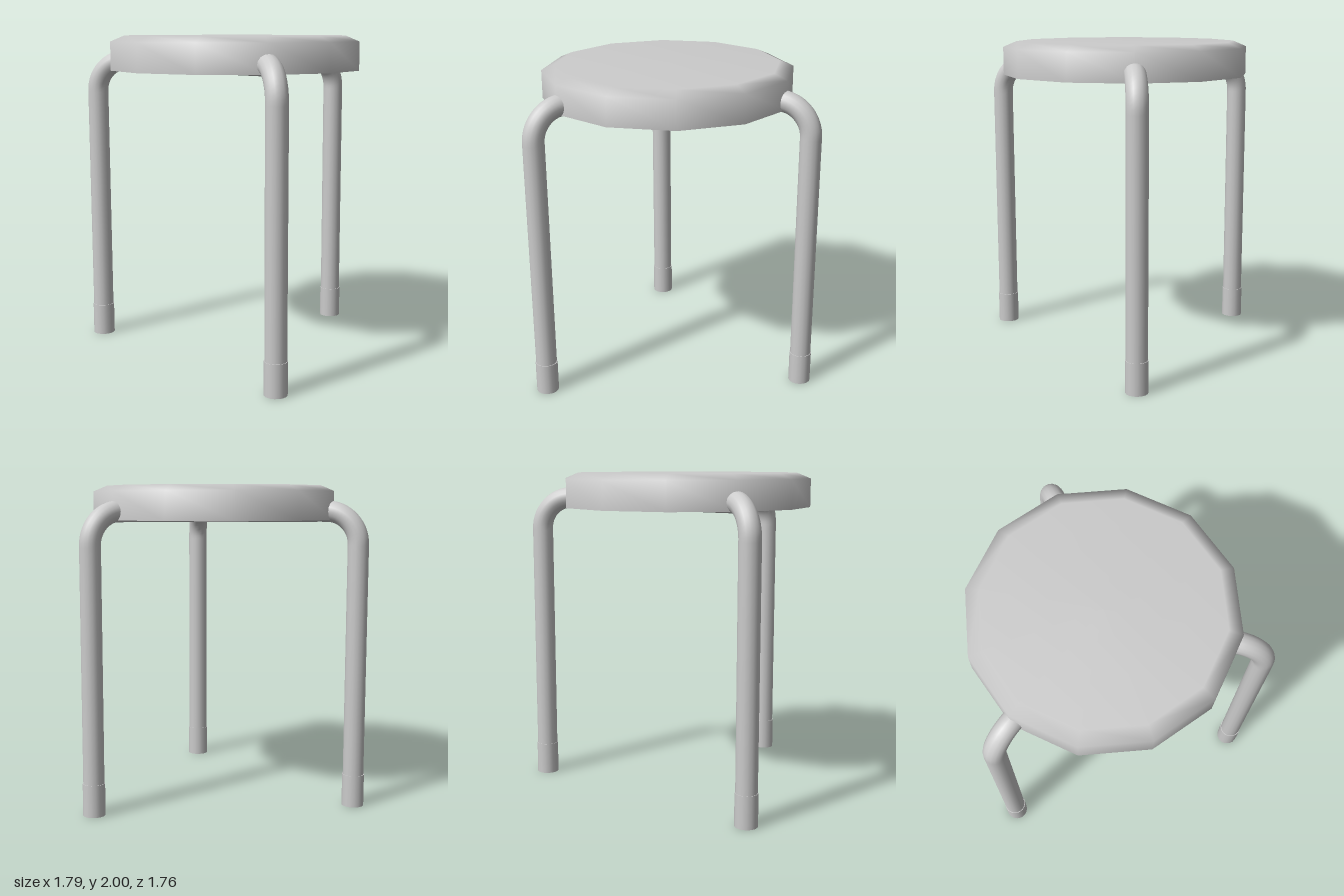
import * as THREE from 'three';

export function createModel() {
  const model = new THREE.Group();
  model.name = 'stool';
  const material = new THREE.MeshStandardMaterial({ color: 0xcccccc });
  const add = (parent, name, geometry, x = 0, y = 0, z = 0) => {
    const mesh = new THREE.Mesh(geometry, material);
    mesh.name = name;
    mesh.position.set(x, y, z);
    parent.add(mesh);
    return mesh;
  };

  // Everything is radial around the seat's axis
  const stool = new THREE.Group();
  stool.name = 'stoolBody';
  stool.position.x = -0.114;
  model.add(stool);

  // Twelve-sided seat with a softened upper rim, and its flat underside
  const profile = [[0.78, 1.787], [0.78, 1.962], [0.695, 1.998], [0, 2]]
    .map(([r, y]) => new THREE.Vector2(r, y));
  add(stool, 'seat', new THREE.LatheGeometry(profile, 12));
  const underside = add(stool, 'seatUnderside', new THREE.CircleGeometry(0.78, 12), 0, 1.787, 0);
  underside.rotation.x = Math.PI / 2;

  // Leg path: straight up, then a quarter bend inward under the seat
  const R = 0.938, bend = 0.2, top = 1.84, tube = 0.065, k = bend * 0.5523;
  const v = (x, y) => new THREE.Vector3(x, y, 0);
  const path = new THREE.CurvePath();
  path.add(new THREE.LineCurve3(v(R, 0.1), v(R, top - bend)));
  path.add(new THREE.CubicBezierCurve3(
    v(R, top - bend), v(R, top - bend + k), v(R - bend + k, top), v(R - bend, top)));
  path.add(new THREE.LineCurve3(v(R - bend, top), v(0.65, top)));
  const legGeometry = new THREE.TubeGeometry(path, 80, tube, 16);
  const footGeometry = new THREE.CylinderGeometry(0.069, 0.069, 0.2, 16);

  // Support rails join the leg tops in a triangle, just showing below the seat
  const corner = 0.7;
  const railGeometry = new THREE.CylinderGeometry(tube, tube, corner * Math.sqrt(3), 16);
  railGeometry.rotateX(Math.PI / 2);

  for (let i = 0; i < 3; i++) {
    const leg = new THREE.Group();
    leg.name = 'legAssembly' + (i + 1);
    leg.rotation.y = i * Math.PI * 2 / 3;
    stool.add(leg);
    add(leg, 'leg', legGeometry);
    add(leg, 'foot', footGeometry, R, 0.1, 0);
    add(leg, 'supportRail', railGeometry, -corner / 2, top, 0);
  }
  return model;
}
